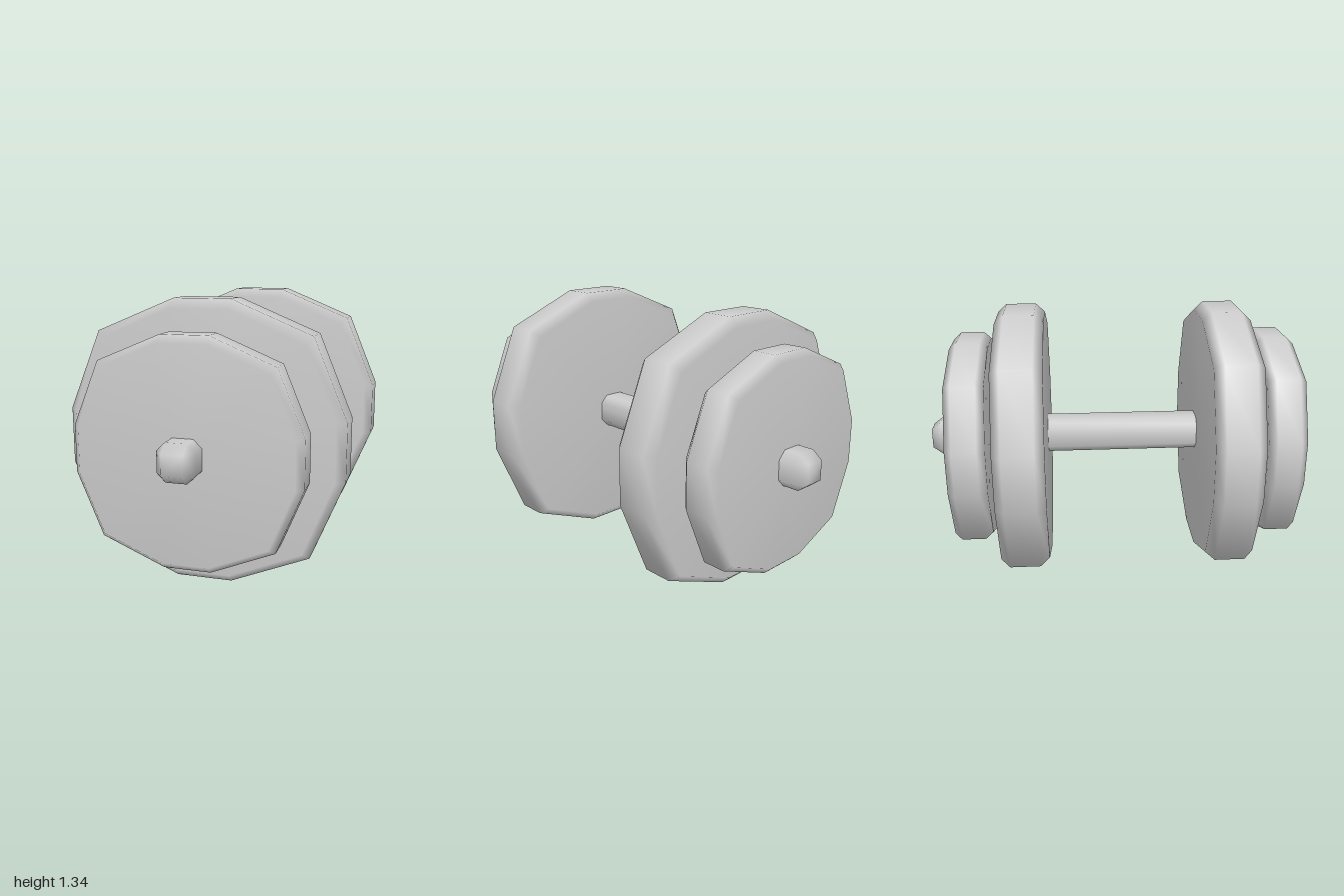
import * as THREE from 'three';
import { mergeVertices } from 'three/addons/utils/BufferGeometryUtils.js';

const CENTER_Y = 0.67;

// Square outline with corners rounded in a few straight steps, counter-clockwise
function outline(half, radius, steps) {
  const points = [];
  for (let corner = 0; corner < 4; corner++) {
    const mid = Math.PI / 4 + corner * Math.PI / 2;
    const reach = (half - radius) * Math.SQRT2;
    for (let s = 0; s <= steps; s++) {
      const a = corner * Math.PI / 2 + (s / steps) * Math.PI / 2;
      points.push([
        reach * Math.cos(mid) + radius * Math.cos(a),
        reach * Math.sin(mid) + radius * Math.sin(a),
      ]);
    }
  }
  return points;
}

// Solid along z with chamfered ends and smooth shared normals
function softPrism({ half, radius, steps, depth, inset, bevel }) {
  const outer = outline(half, radius, steps);
  const inner = outline(half - inset, radius - inset, steps);
  const h = depth / 2;
  const rings = [[inner, -h], [outer, -h + bevel], [outer, h - bevel], [inner, h]];
  const n = outer.length;
  const positions = [];
  const index = [];
  rings.forEach(([ring, z]) => ring.forEach(([x, y]) => positions.push(x, y, z)));
  positions.push(0, 0, -h, 0, 0, h);
  const back = 4 * n, front = 4 * n + 1;
  for (let j = 0; j < n; j++) {
    const k = (j + 1) % n;
    for (let r = 0; r < 3; r++) {
      const a = r * n + j, b = r * n + k;
      index.push(a, b, b + n, a, b + n, a + n);
    }
    index.push(back, k, j, front, 3 * n + j, 3 * n + k);
  }
  const geometry = new THREE.BufferGeometry();
  geometry.setAttribute('position', new THREE.Float32BufferAttribute(positions, 3));
  geometry.setIndex(index);
  const merged = mergeVertices(geometry, 1e-4);
  merged.computeVertexNormals();
  return merged;
}

export function createModel() {
  const group = new THREE.Group();
  group.name = 'dumbbell';
  const material = new THREE.MeshStandardMaterial({ color: 0xcccccc });

  const add = (name, geometry, z) => {
    const mesh = new THREE.Mesh(geometry, material);
    mesh.name = name;
    mesh.position.set(0, CENTER_Y, z);
    group.add(mesh);
  };

  // Handle bar running through all the plates
  add('bar', softPrism({ half: 0.088, radius: 0.039, steps: 1, depth: 2, inset: 0.039, bevel: 0.05 }), 0);

  // Large inner and small outer plate at each end
  const large = softPrism({ half: 0.67, radius: 0.535, steps: 2, depth: 0.242, inset: 0.043, bevel: 0.045 });
  const small = softPrism({ half: 0.53, radius: 0.42, steps: 2, depth: 0.19, inset: 0.034, bevel: 0.036 });
  for (const [end, side] of [['front', 1], ['back', -1]]) {
    add(end + 'LargePlate', large, side * 0.514);
    add(end + 'SmallPlate', small, side * 0.771);
  }
  return group;
}
